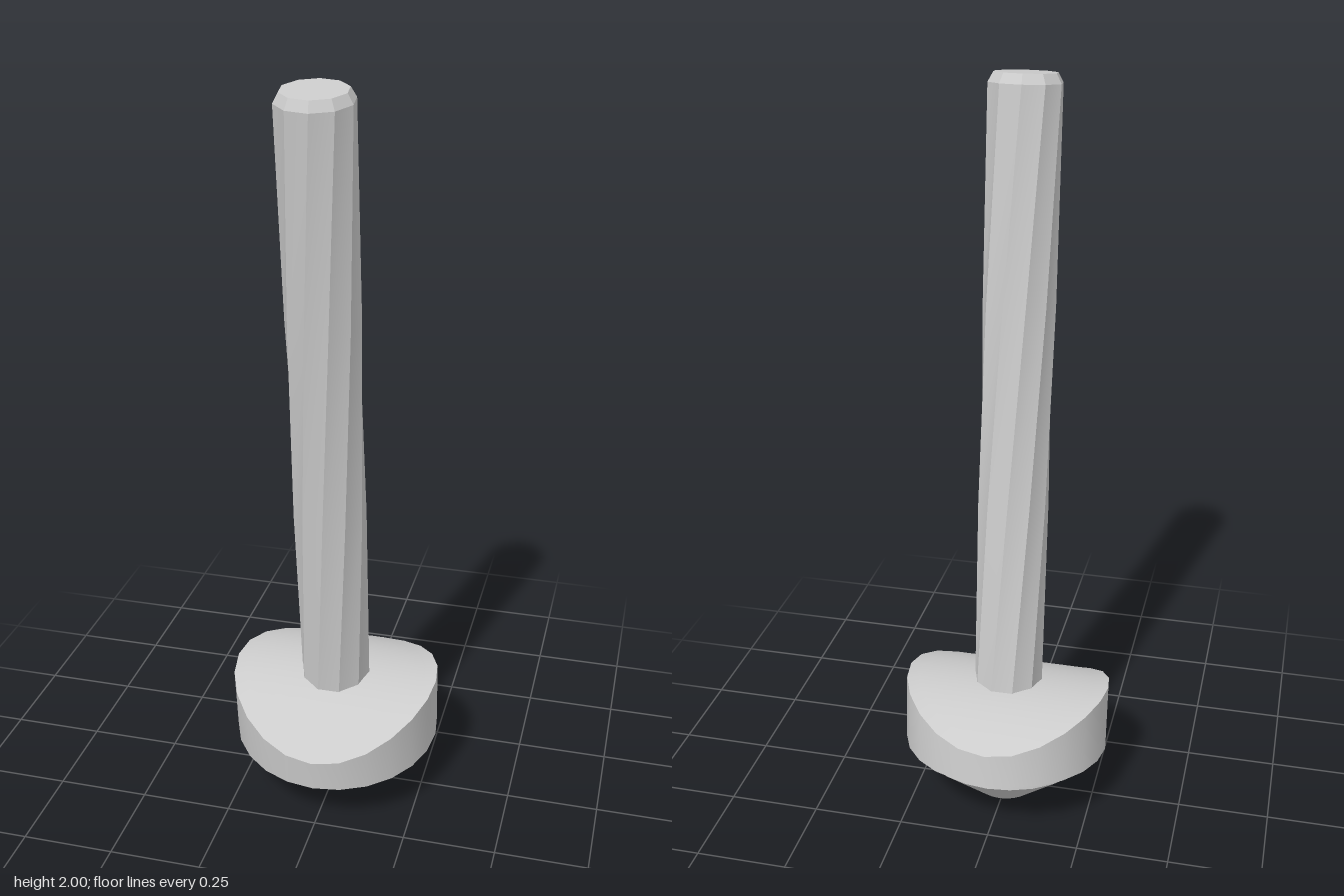
import * as THREE from 'three';
import { toCreasedNormals } from 'three/addons/utils/BufferGeometryUtils.js';

const TILT = 0.117;

export function createModel() {
  const model = new THREE.Group();
  model.name = 'tiltedBolt';
  const bolt = new THREE.Group();
  bolt.name = 'bolt';
  bolt.rotation.x = TILT;
  bolt.position.set(0, 0.009, -0.03);
  model.add(bolt);

  const grey = new THREE.MeshStandardMaterial({ color: 0xcccccc });
  const greyDouble = new THREE.MeshStandardMaterial({ color: 0xcccccc, side: THREE.DoubleSide });
  const add = (name, geometry, material = grey) => {
    const mesh = new THREE.Mesh(geometry, material);
    mesh.name = name;
    bolt.add(mesh);
    return mesh;
  };
  const lathe = (pts) =>
    new THREE.LatheGeometry(pts.map(([r, y]) => new THREE.Vector2(r, y)), 24);

  // Head: a round block whose top is arched across z
  const headR = 0.285, archR = 0.446, peak = 0.35;
  const profile = [[0, 0.159], [headR, 0.159], [headR, 0.3]];
  for (let i = 7; i >= 0; i--) profile.push([headR * i / 8, 0.3]);
  const head = lathe(profile);
  const hp = head.attributes.position;
  for (let i = 0; i < hp.count; i++) {
    if (hp.getY(i) > 0.2) {
      hp.setY(i, peak - archR + Math.sqrt(archR ** 2 - hp.getZ(i) ** 2));
    }
  }
  add('archedHead', toCreasedNormals(head, 0.6));

  // Conical nose with a short collar under the head
  const noseR = 0.08;
  add('coneNose', toCreasedNormals(lathe([[noseR, 0], [0.24, 0.124], [0.24, 0.16]]), 0.5));

  // Hexagonal socket sunk into the nose
  const socketR = 0.065, depth = 0.08;
  const face = new THREE.Shape().absarc(0, 0, noseR, 0, Math.PI * 2);
  const hex = [];
  for (let i = 0; i < 6; i++) {
    const a = i * Math.PI / 3;
    hex.push(new THREE.Vector2(Math.sin(a) * socketR, Math.cos(a) * socketR));
  }
  face.holes.push(new THREE.Path(hex));
  add('noseFace', new THREE.ShapeGeometry(face, 12).rotateX(Math.PI / 2));
  const wall = new THREE.CylinderGeometry(socketR, socketR, depth, 6, 1, true);
  add('socketWall', toCreasedNormals(wall.translate(0, depth / 2, 0), 0.5), greyDouble);
  const floor = new THREE.ShapeGeometry(new THREE.Shape(hex)).rotateX(Math.PI / 2);
  add('socketFloor', floor.translate(0, depth, 0));

  // Shaft: ten-sided, three sections, each ring turned further than the last
  const shaftR = 0.096, base = 0.315, top = 1.969, sections = 3;
  const twist = THREE.MathUtils.degToRad(20), phase = THREE.MathUtils.degToRad(18);
  const shaft = new THREE.CylinderGeometry(shaftR, shaftR, top - base, 10, sections, true);
  shaft.translate(0, (top + base) / 2, 0);
  const sp = shaft.attributes.position;
  const v = new THREE.Vector3(), up = new THREE.Vector3(0, 1, 0);
  for (let i = 0; i < sp.count; i++) {
    v.fromBufferAttribute(sp, i);
    v.applyAxisAngle(up, phase + twist * sections * (v.y - base) / (top - base));
    sp.setXYZ(i, v.x, v.y, v.z);
  }
  add('twistedShaft', toCreasedNormals(shaft, 0.5));

  // Chamfered tip, lined up with the last ring
  const tip = new THREE.CylinderGeometry(0.082, shaftR, 0.025, 10, 1);
  tip.rotateY(phase + twist * sections).translate(0, top + 0.0125, 0);
  add('shaftTip', toCreasedNormals(tip, 0.5));

  return model;
}
